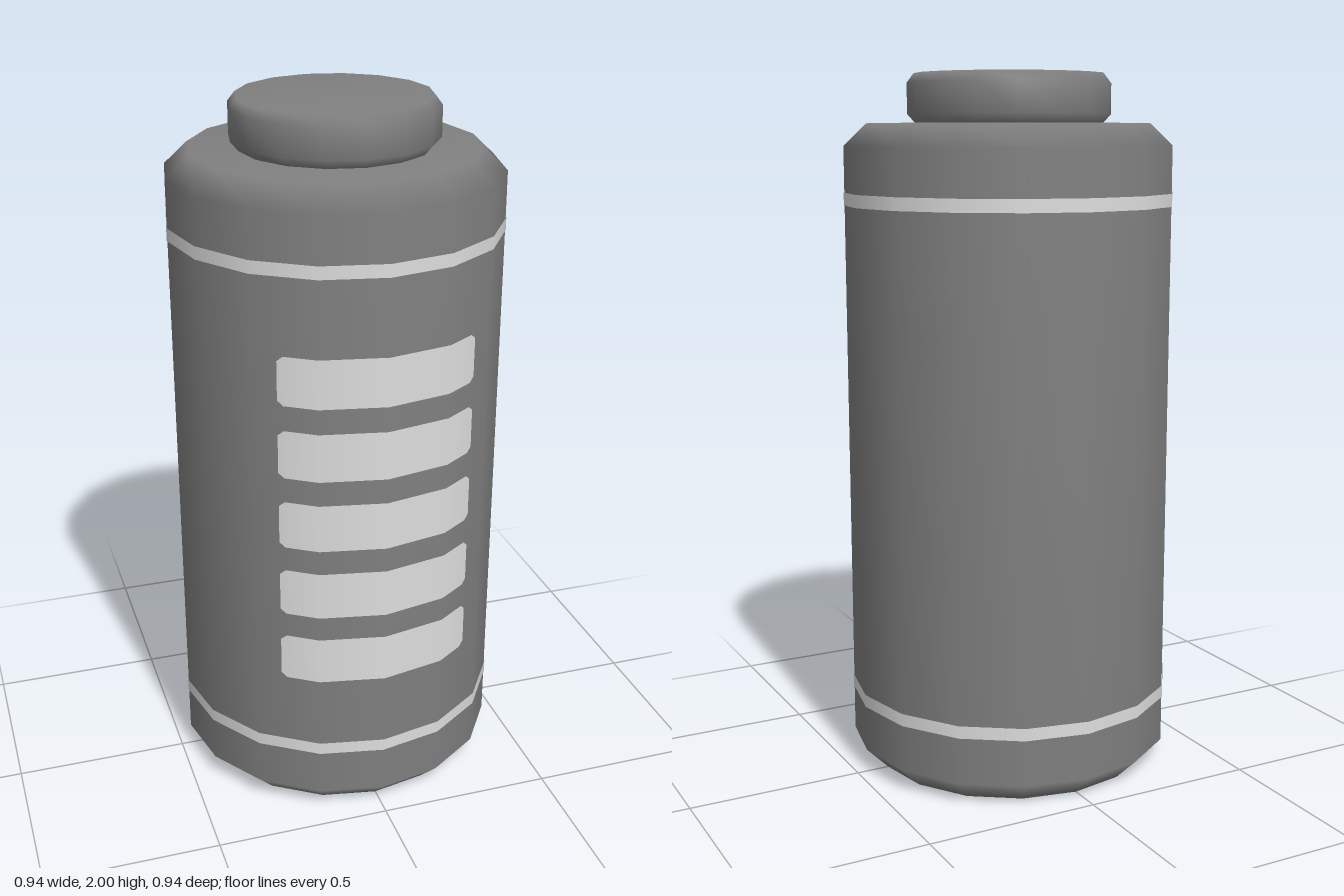
import * as THREE from 'three';

const SIDES = 16, R = 0.47;

// Depth of the faceted wall at a given x, for the front half
function wallZ(x, r) {
  const step = (Math.PI * 2) / SIDES;
  const i = Math.floor(Math.asin(Math.min(1, Math.abs(x) / r)) / step + 1e-6);
  const x0 = r * Math.sin(i * step), z0 = r * Math.cos(i * step);
  const x1 = r * Math.sin((i + 1) * step), z1 = r * Math.cos((i + 1) * step);
  return z0 + (z1 - z0) * (Math.abs(x) - x0) / (x1 - x0);
}

// Thin label bar that follows the facets, with clipped corners
function barGeometry(halfWidth, height) {
  const r = R + 0.003, bend = r * Math.sin(Math.PI / 8), cut = 0.014;
  const xs = [-halfWidth, -halfWidth + cut, -bend, 0, bend, halfWidth - cut, halfWidth];
  const pos = [], nor = [], idx = [];
  xs.forEach((x, i) => {
    const h = height / 2 - (i === 0 || i === xs.length - 1 ? cut : 0);
    const z = wallZ(x, r), len = Math.hypot(x, z);
    for (const y of [-h, h]) {
      pos.push(x, y, z);
      nor.push(x / len, 0, z / len);
    }
    if (i > 0) {
      const a = (i - 1) * 2;
      idx.push(a, a + 2, a + 3, a, a + 3, a + 1);
    }
  });
  const g = new THREE.BufferGeometry();
  g.setAttribute('position', new THREE.Float32BufferAttribute(pos, 3));
  g.setAttribute('normal', new THREE.Float32BufferAttribute(nor, 3));
  g.setIndex(idx);
  return g;
}

export function createModel() {
  const model = new THREE.Group();
  model.name = 'battery';
  const grey = new THREE.MeshStandardMaterial({ color: 0x808080 });
  grey.name = 'casing grey';
  const pale = new THREE.MeshStandardMaterial({ color: 0xdedede, side: THREE.DoubleSide });
  pale.name = 'marking pale grey';

  const add = (name, geometry, material, y = 0) => {
    const mesh = new THREE.Mesh(geometry, material);
    mesh.name = name;
    mesh.position.y = y;
    model.add(mesh);
  };
  const lathe = (pts) =>
    new THREE.LatheGeometry(pts.map(([r, y]) => new THREE.Vector2(r, y)), SIDES);

  // Casing with bevelled ends
  add('casing', lathe([[0, 0], [0.405, 0], [R, 0.065], [R, 1.8], [0.405, 1.862], [0, 1.862]]), grey);

  // Terminal button on top
  add('terminal', lathe([[0.265, 1.86], [0.29, 1.888], [0.29, 1.974], [0.27, 2], [0, 2]]), grey);

  // Painted rings near both ends
  for (const [name, y] of [['lowerRing', 0.217], ['upperRing', 1.652]]) {
    add(name, new THREE.CylinderGeometry(R + 0.002, R + 0.002, 0.036, SIDES, 1, true), pale, y);
  }

  // Charge bars on the front
  const bar = barGeometry(0.275, 0.138);
  for (let i = 0; i < 5; i++) add('chargeBar' + (i + 1), bar, pale, 0.515 + i * 0.209);

  return model;
}
